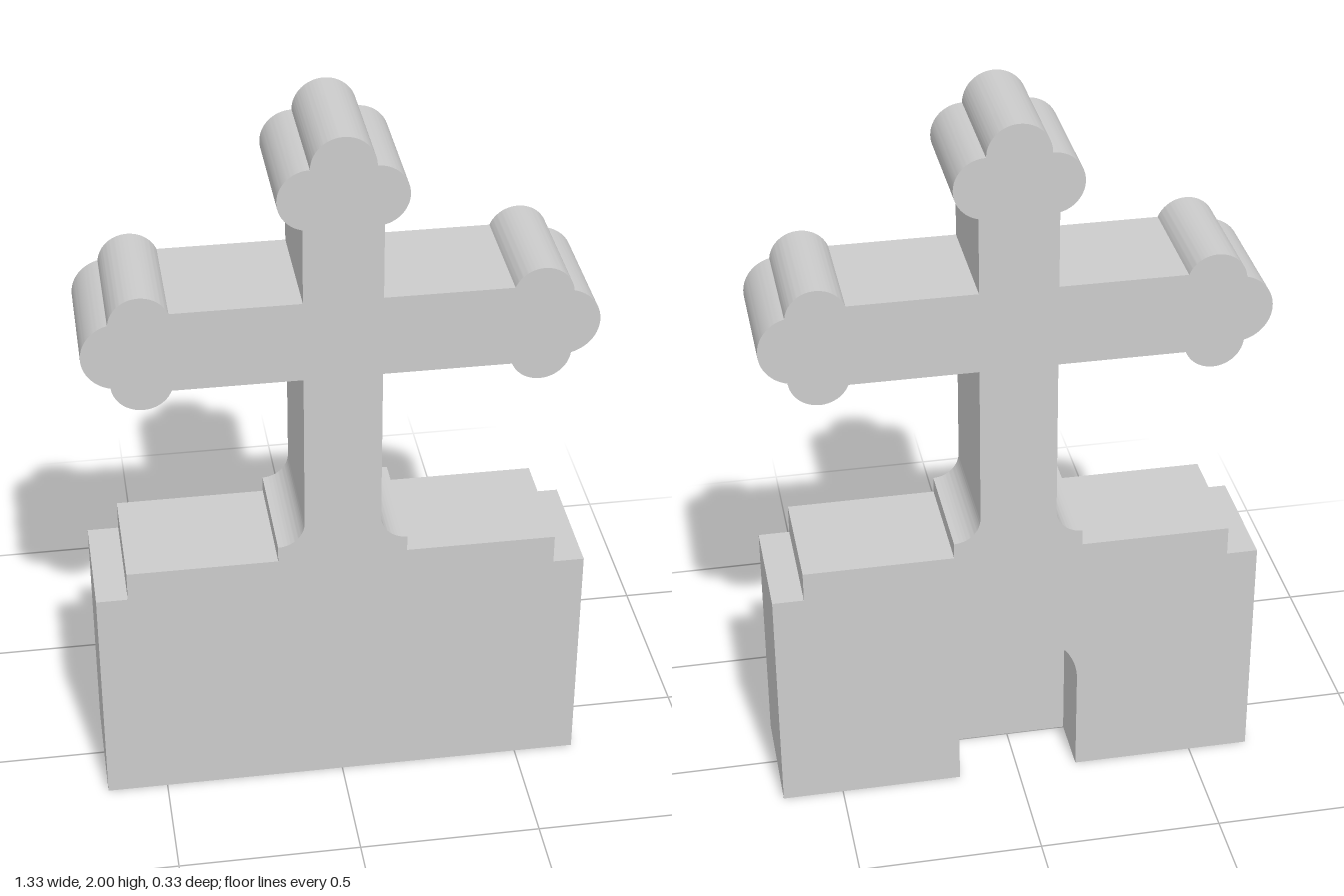
import * as THREE from 'three';
import { toCreasedNormals } from 'three/addons/utils/BufferGeometryUtils.js';

const HALF_DEPTH = 0.167;
const material = new THREE.MeshStandardMaterial({ color: 0xcccccc });

// Closed shape from its right half (bottom to top), mirrored across x = 0
function mirroredShape(path) {
  const right = path.getPoints(20);
  const left = right.filter(p => p.x > 1e-4).reverse().map(p => new THREE.Vector2(-p.x, p.y));
  return new THREE.Shape([...right, ...left]);
}

function slab(name, shape, z0, z1) {
  const geometry = new THREE.ExtrudeGeometry(shape, { depth: z1 - z0, bevelEnabled: false });
  geometry.translate(0, 0, z0);
  const mesh = new THREE.Mesh(toCreasedNormals(geometry, 0.4), material);
  mesh.name = name;
  return mesh;
}

// Cross with flared foot and three-lobed ends
function crossShape() {
  const stem = 0.103, armY = 1.43, armHalf = 0.113;
  const lobe = 0.08, lobeX = 0.515, lobeDY = 0.084;
  const tipR = 0.095, tipX = 0.572, topR = 0.0833;
  const root = Math.asin((armHalf - lobeDY) / lobe);
  const stemAngle = Math.acos((stem - topR) / topR);
  const p = new THREE.Path();
  p.moveTo(0, 0.75);
  p.lineTo(0.175, 0.75);
  p.lineTo(0.175, 0.795);
  p.absarc(0.175, 0.867, 0.072, -Math.PI / 2, -Math.PI, true);
  p.lineTo(stem, armY - armHalf);
  // arm end: lower lobe, tip, upper lobe
  p.absarc(lobeX, armY - lobeDY, lobe, Math.PI + root, 2 * Math.PI - 0.11, false);
  p.absarc(tipX, armY, tipR, -1.326, 1.326, false);
  p.absarc(lobeX, armY + lobeDY, lobe, 0.11, Math.PI - root, false);
  p.lineTo(stem, armY + armHalf);
  // top end: side lobe, then half of the crown lobe
  p.absarc(topR, 2 - 2 * topR, topR, -stemAngle, Math.PI / 2, false);
  p.absarc(0, 2 - topR, topR, 0, Math.PI / 2, false);
  return mirroredShape(p);
}

// Stepped base outline, optionally cut by an arched opening at the bottom
function baseShape(arched) {
  const p = new THREE.Path();
  if (arched) {
    const r = 0.167, spring = 0.3;
    p.moveTo(0, spring + r);
    p.absarc(0, spring, r, Math.PI / 2, 0, true);
    p.lineTo(r, 0);
  } else {
    p.moveTo(0, 0);
  }
  p.lineTo(0.667, 0);
  p.lineTo(0.667, 0.667);
  p.lineTo(0.582, 0.667);
  p.lineTo(0.582, 0.75);
  p.lineTo(0, 0.75);
  return mirroredShape(p);
}

export function createModel() {
  const group = new THREE.Group();
  group.name = 'crossOnBase';
  group.add(
    slab('cross', crossShape(), -HALF_DEPTH, HALF_DEPTH),
    slab('baseFront', baseShape(false), 0, HALF_DEPTH),
    slab('baseBackWithNiche', baseShape(true), -HALF_DEPTH, 0),
  );
  return group;
}
